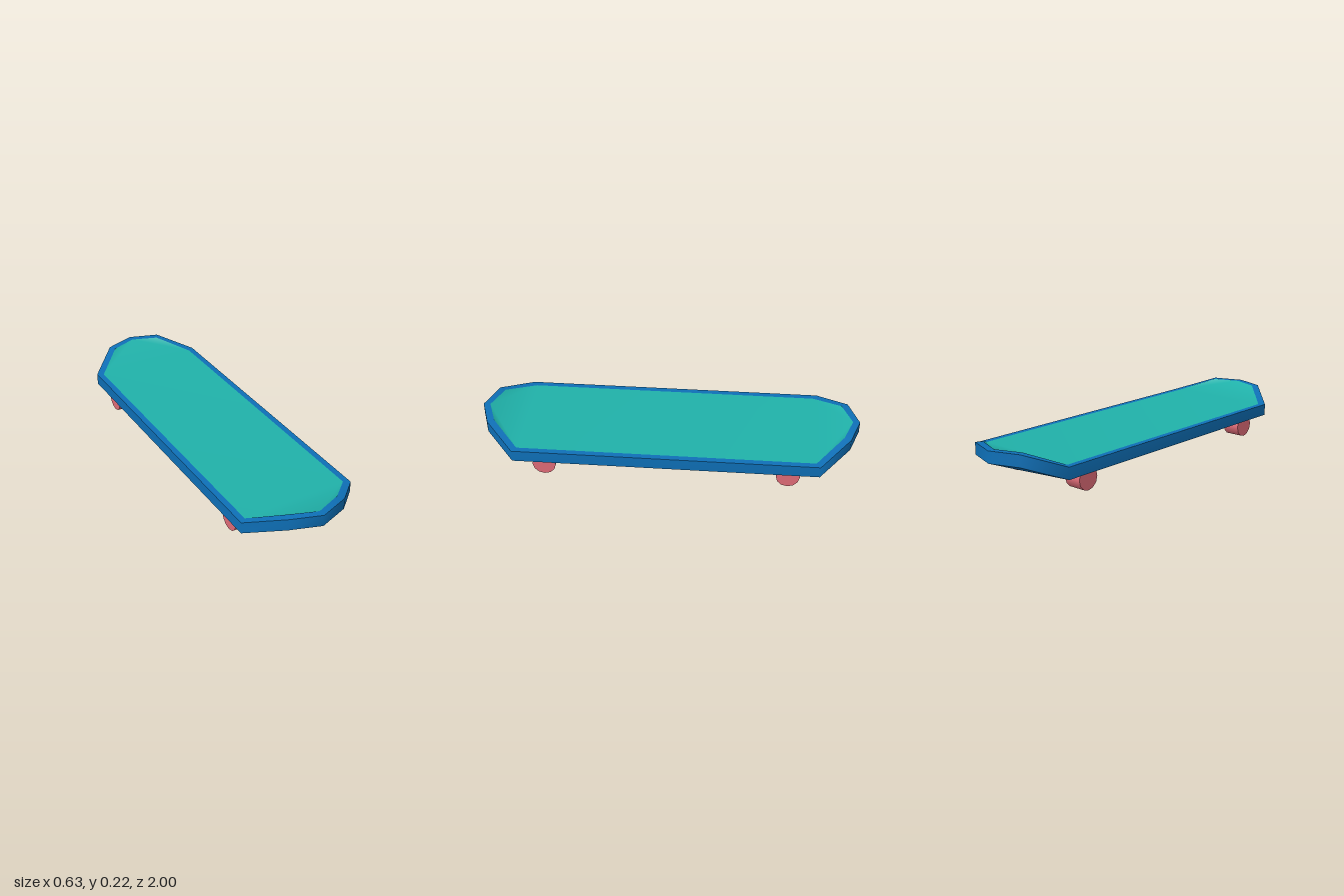
import * as THREE from 'three';

const deckBlue = new THREE.MeshStandardMaterial({ color: 0x0e70b8 });
const gripTeal = new THREE.MeshStandardMaterial({ color: 0x20b2aa });
const wheelPink = new THREE.MeshStandardMaterial({ color: 0xe06c78 });

// Ten-sided deck outline, counterclockwise from above, with raised ends.
// side, shoulder and tip are [x, z] corners of one quarter.
function outline(side, shoulder, tip, y) {
  const lift = 0.062;
  const half = [
    [side[0], y, -side[1]],
    [shoulder[0], y + lift, -shoulder[1]],
    [0, y + lift, -tip],
    [-shoulder[0], y + lift, -shoulder[1]],
    [-side[0], y, -side[1]],
  ];
  return [...half, ...half.map(([x, h, z]) => [-x, h, -z])];
}

function surface(points, index) {
  const geometry = new THREE.BufferGeometry();
  geometry.setAttribute('position', new THREE.Float32BufferAttribute(points.flat(), 3));
  geometry.setIndex(index);
  geometry.computeVertexNormals();
  return geometry;
}

// Closed band joining two outlines
function band(a, b) {
  const n = a.length, index = [];
  for (let i = 0; i < n; i++) {
    const j = (i + 1) % n;
    index.push(i, j, n + j, i, n + j, n + i);
  }
  return surface([...a, ...b], index);
}

// Flat middle with upturned, folded ends
function panel(ring, faceDown) {
  const index = [];
  for (const s of [0, 5]) {
    const p = (k) => (k + s) % 10;
    index.push(p(0), p(1), p(2), p(2), p(3), p(4), p(0), p(2), p(4));
  }
  index.push(9, 0, 4, 9, 4, 5);
  return surface(ring, faceDown ? index.reverse() : index);
}

export function createModel() {
  const group = new THREE.Group();
  const add = (name, geometry, material) => {
    const mesh = new THREE.Mesh(geometry, material);
    mesh.name = name;
    group.add(mesh);
    return mesh;
  };

  // Deck
  const bottom = outline([0.315, 0.79], [0.157, 0.945], 1, 0.098);
  const top = outline([0.315, 0.79], [0.157, 0.945], 1, 0.16);
  const inner = outline([0.283, 0.77], [0.138, 0.912], 0.964, 0.16);
  add('deckUnderside', panel(bottom, true), deckBlue);
  add('deckEdge', band(bottom, top), deckBlue);
  add('deckRim', band(top, inner), deckBlue);
  add('gripSurface', panel(inner, false), gripTeal);

  // Wheels
  const wheel = new THREE.CylinderGeometry(0.061, 0.061, 0.094, 12).rotateZ(Math.PI / 2);
  for (const x of [-1, 1]) {
    for (const z of [-1, 1]) {
      const name = (z > 0 ? 'front' : 'back') + (x > 0 ? 'Left' : 'Right') + 'Wheel';
      add(name, wheel, wheelPink).position.set(x * 0.236, 0.061, z * 0.632);
    }
  }
  return group;
}
